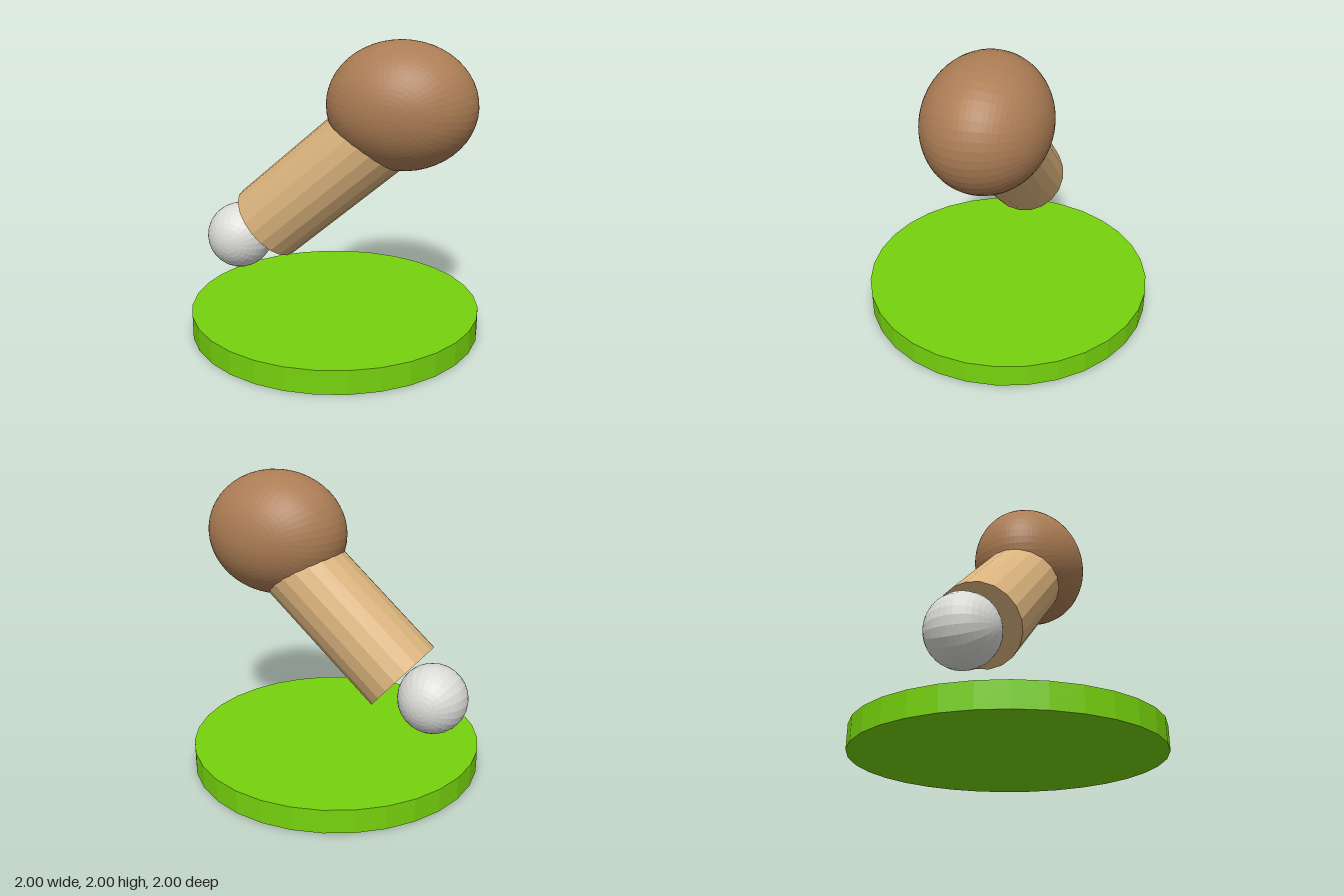
import * as THREE from 'three';

function material(name, color) {
  const m = new THREE.MeshStandardMaterial({ color });
  m.name = name;
  return m;
}

// Unshared vertices with per-face normals give crisp facets
function faceted(geometry) {
  const g = geometry.toNonIndexed();
  g.computeVertexNormals();
  return g;
}

// Sphere with its poles along z
function ball(radius, segments, rings) {
  return new THREE.SphereGeometry(radius, segments, rings).rotateX(Math.PI / 2);
}

export function createModel() {
  const green = material('grass green', 0x76d20e);
  const tan = material('tan', 0xd9b27c);
  const brown = material('brown', 0xac7d55);
  const grey = material('light grey', 0xdadad7);

  const model = new THREE.Group();
  const add = (name, geometry, mat, x, y) => {
    const mesh = new THREE.Mesh(faceted(geometry), mat);
    mesh.name = name;
    mesh.position.set(x, y, 0);
    model.add(mesh);
    return mesh;
  };

  // Round base slab
  add('base', new THREE.CylinderGeometry(1, 1, 0.16, 32), green, 0, 0.08);

  // Tilted shaft, its upper end buried in the head
  const tilt = THREE.MathUtils.degToRad(41);
  const length = 1.1;
  const shaft = new THREE.CylinderGeometry(0.284, 0.284, length, 20)
    .translate(0, length / 2, 0)
    .rotateZ(tilt - Math.PI / 2);
  add('shaft', shaft, tan, -0.5, 0.698);

  // Egg-shaped head
  add('head', ball(1, 48, 40).scale(0.495, 0.422, 0.397), brown, 0.45, 1.578);

  // Small ball beside the lower end of the shaft
  add('ball', ball(0.234, 24, 20), grey, -0.715, 0.58);

  return model;
}
